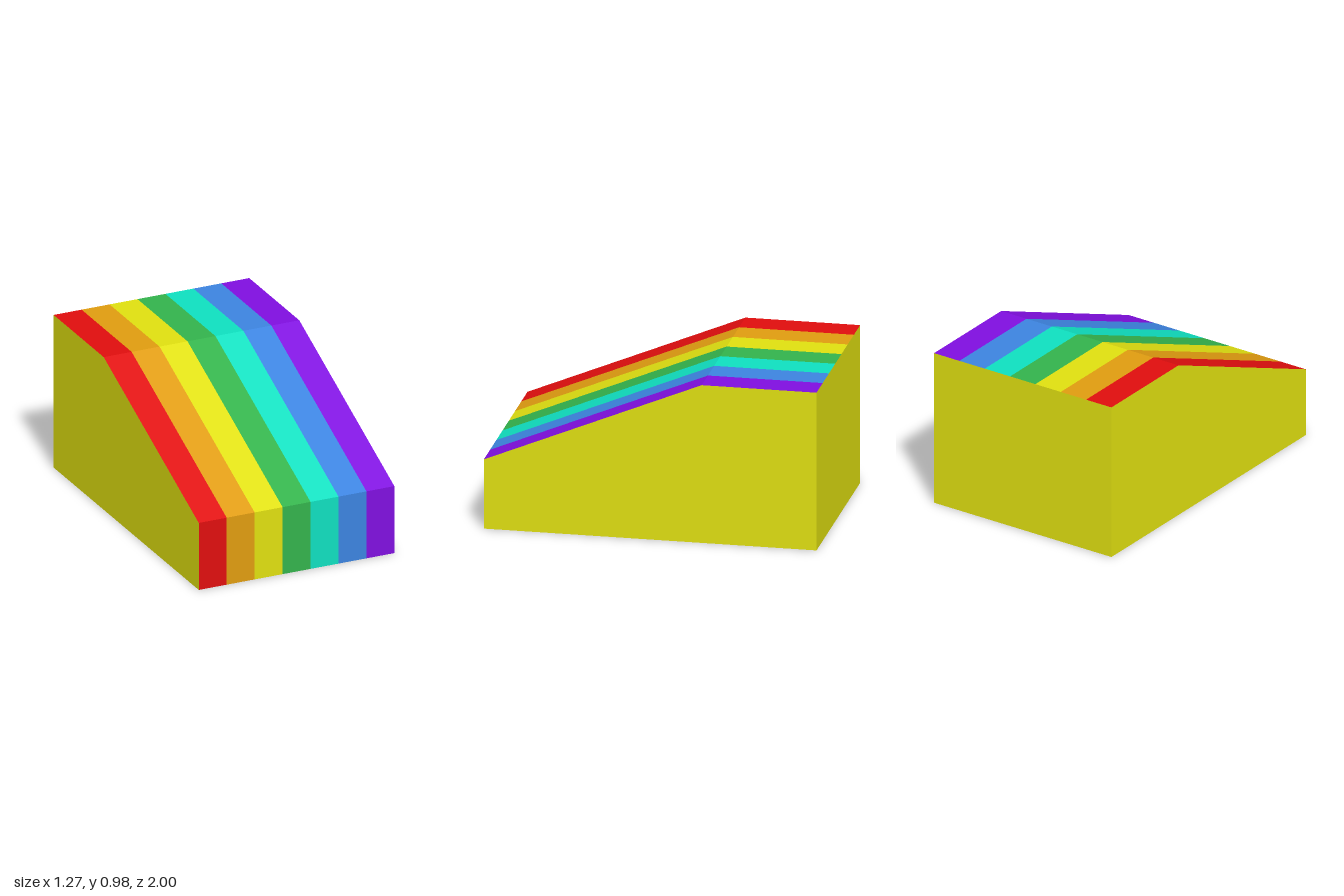
import * as THREE from 'three';

const HALF = 0.637;
// Side outline as [z, y], from the front foot over the slope to the back
const striped = [[1, 0], [1, 0.43], [-0.31, 0.98], [-1, 0.98]];
const plain = [[-1, 0.98], [-1, 0], [1, 0]];

const mat = (name, color) => new THREE.MeshStandardMaterial({ name, color });
const yellow = mat('yellow', 0xe0e010);
const stripes = [
  mat('red', 0xe00e0e), mat('orange', 0xe09c10), yellow, mat('green', 0x33b34c),
  mat('turquoise', 0x0fe0c0), mat('blue', 0x3c84e0), mat('purple', 0x800fe0),
];

// Flat faces following an outline between two x positions
function ribbon(path, x0, x1) {
  const pos = [];
  for (let i = 0; i < path.length - 1; i++) {
    const [z0, y0] = path[i], [z1, y1] = path[i + 1];
    const a = [x0, y0, z0], b = [x1, y0, z0], c = [x1, y1, z1], d = [x0, y1, z1];
    pos.push(...a, ...b, ...c, ...a, ...c, ...d);
  }
  const geo = new THREE.BufferGeometry();
  geo.setAttribute('position', new THREE.Float32BufferAttribute(pos, 3));
  geo.computeVertexNormals();
  return geo;
}

export function createModel() {
  const group = new THREE.Group();
  group.name = 'stripedWedge';
  const add = (name, geo, material) => {
    const mesh = new THREE.Mesh(geo, material);
    mesh.name = name;
    group.add(mesh);
  };

  // Coloured stripes over the front, slope and top
  const w = (2 * HALF) / stripes.length;
  stripes.forEach((m, i) =>
    add(`${m.name}Stripe`, ribbon(striped, -HALF + i * w, -HALF + (i + 1) * w), m));

  // Plain back and underside
  add('backAndBase', ribbon(plain, -HALF, HALF), yellow);

  // Side walls, facing outwards
  for (const s of [1, -1]) {
    const outline = [...striped, [-1, 0]].map(([z, y]) => new THREE.Vector2(-s * z, y));
    const geo = new THREE.ShapeGeometry(new THREE.Shape(outline));
    geo.rotateY(s * Math.PI / 2).translate(s * HALF, 0, 0);
    add(s > 0 ? 'leftSide' : 'rightSide', geo, yellow);
  }
  return group;
}
